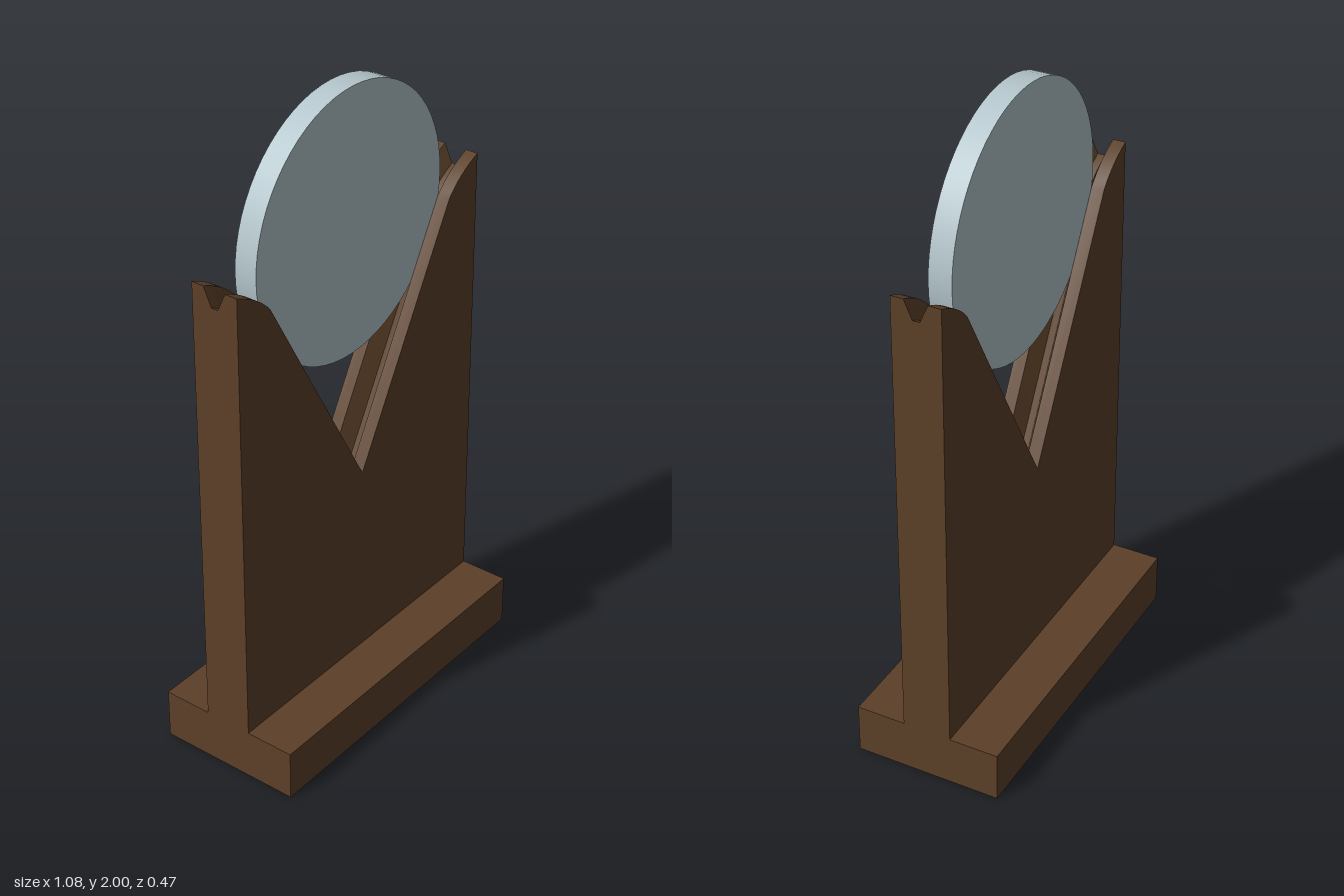
import * as THREE from 'three';
import { toCreasedNormals } from 'three/addons/utils/BufferGeometryUtils.js';

const HALF_WIDTH = 0.54;
const BASE_TOP = 0.16;
const GROOVE_DEPTH = 0.054;

// Right half of the top edge: V bottom, then a rounded shoulder.
// Each station is [x, y, vertical depth of the groove].
function topEdge() {
  const bottom = new THREE.Vector2(0, 0.785);
  const kink = new THREE.Vector2(0.405, 1.515);
  const shoulder = new THREE.QuadraticBezierCurve(
    kink, new THREE.Vector2(0.455, 1.575), new THREE.Vector2(HALF_WIDTH, 1.607));
  const drop = (slope) => GROOVE_DEPTH * Math.hypot(1, slope);
  const steep = drop((kink.y - bottom.y) / kink.x);
  const half = [[0, bottom.y, steep], [kink.x, kink.y, steep]];
  const steps = 8;
  for (let i = 1; i <= steps; i++) {
    const p = shoulder.getPoint(i / steps), t = shoulder.getTangent(i / steps);
    half.push([p.x, p.y, drop(t.y / t.x)]);
  }
  const mirrored = half.slice(1).reverse().map(([x, y, d]) => [-x, y, d]);
  return [...mirrored, ...half];
}

// Upright plate: one grooved cross-section per station, joined by quads
function uprightGeometry() {
  const rings = topEdge().map(([x, y, d]) => [
    [-0.077, BASE_TOP], [-0.077, y], [-0.037, y], [-0.011, y - d],
    [0.011, y - d], [0.037, y], [0.077, y], [0.077, BASE_TOP],
  ].map(([z, h]) => new THREE.Vector3(x, h, z)));

  const points = [];
  for (let i = 0; i < rings.length - 1; i++) {
    const a = rings[i], b = rings[i + 1];
    for (let j = 0; j < a.length; j++) {
      const k = (j + 1) % a.length;
      points.push(a[j], a[k], b[k], a[j], b[k], b[j]);
    }
  }
  // End caps
  const first = rings[0], last = rings[rings.length - 1];
  const outline = last.map((p) => new THREE.Vector2(-p.z, p.y));
  for (const [a, b, c] of THREE.ShapeUtils.triangulateShape(outline, [])) {
    points.push(last[a], last[b], last[c], first[a], first[c], first[b]);
  }
  return toCreasedNormals(new THREE.BufferGeometry().setFromPoints(points), 0.4);
}

export function createModel() {
  const group = new THREE.Group();
  const wood = new THREE.MeshStandardMaterial({ color: 0x5c4028 });
  const pale = new THREE.MeshStandardMaterial({ color: 0xb5c7cd });

  const add = (name, geometry, material, y) => {
    const mesh = new THREE.Mesh(geometry, material);
    mesh.name = name;
    mesh.position.y = y;
    group.add(mesh);
  };

  // Foot
  add('base', new THREE.BoxGeometry(2 * HALF_WIDTH, BASE_TOP, 0.465), wood, BASE_TOP / 2);

  // V-notched holder with a groove along its top edge
  add('upright', uprightGeometry(), wood, 0);

  // Round disc resting in the groove
  const disc = new THREE.CylinderGeometry(0.413, 0.413, 0.072, 64).rotateX(Math.PI / 2);
  add('disc', disc, pale, 1.587);

  return group;
}
